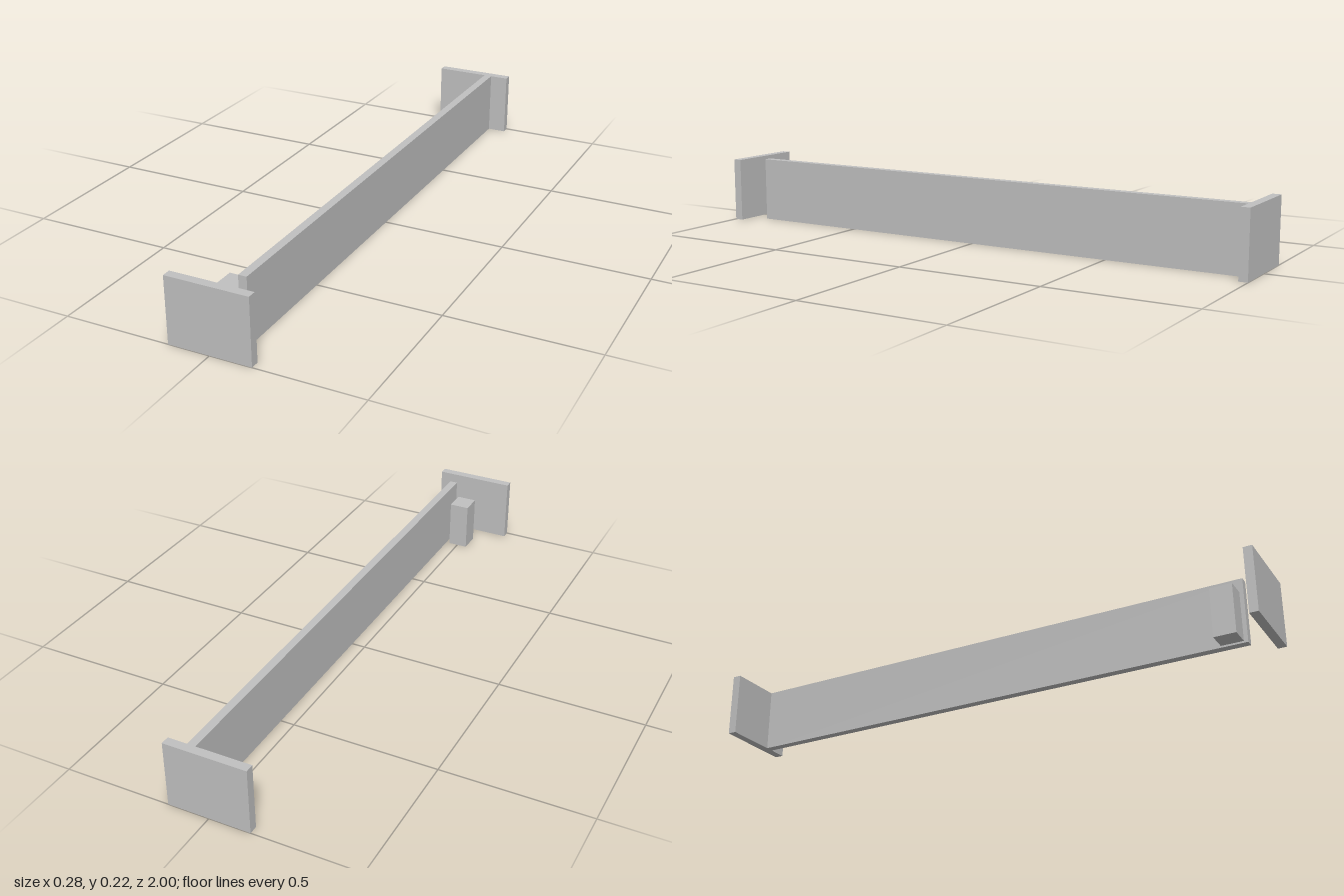
import * as THREE from 'three';

export function createModel() {
  const group = new THREE.Group();
  const grey = new THREE.MeshStandardMaterial({ color: 0xc0c0c0 });
  grey.name = 'light grey';

  // Box standing on the ground, given by its extents in x and z and its height
  function block(name, x0, x1, z0, z1, height) {
    const mesh = new THREE.Mesh(new THREE.BoxGeometry(x1 - x0, height, z1 - z0), grey);
    mesh.position.set((x0 + x1) / 2, height / 2, (z0 + z1) / 2);
    mesh.name = name;
    group.add(mesh);
  }

  const height = 0.225;
  // End walls
  block('frontWall', -0.14, 0.14, 0.97, 1, height);
  block('backWall', -0.14, 0.14, -1, -0.97, height);
  // Long side wall, joined to the back wall and stopping short of the front one
  block('sideWall', 0.047, 0.075, -0.97, 0.905, height);
  // Short free-standing post beside the open end
  block('post', -0.036, 0.034, 0.82, 0.895, 0.171);

  return group;
}
